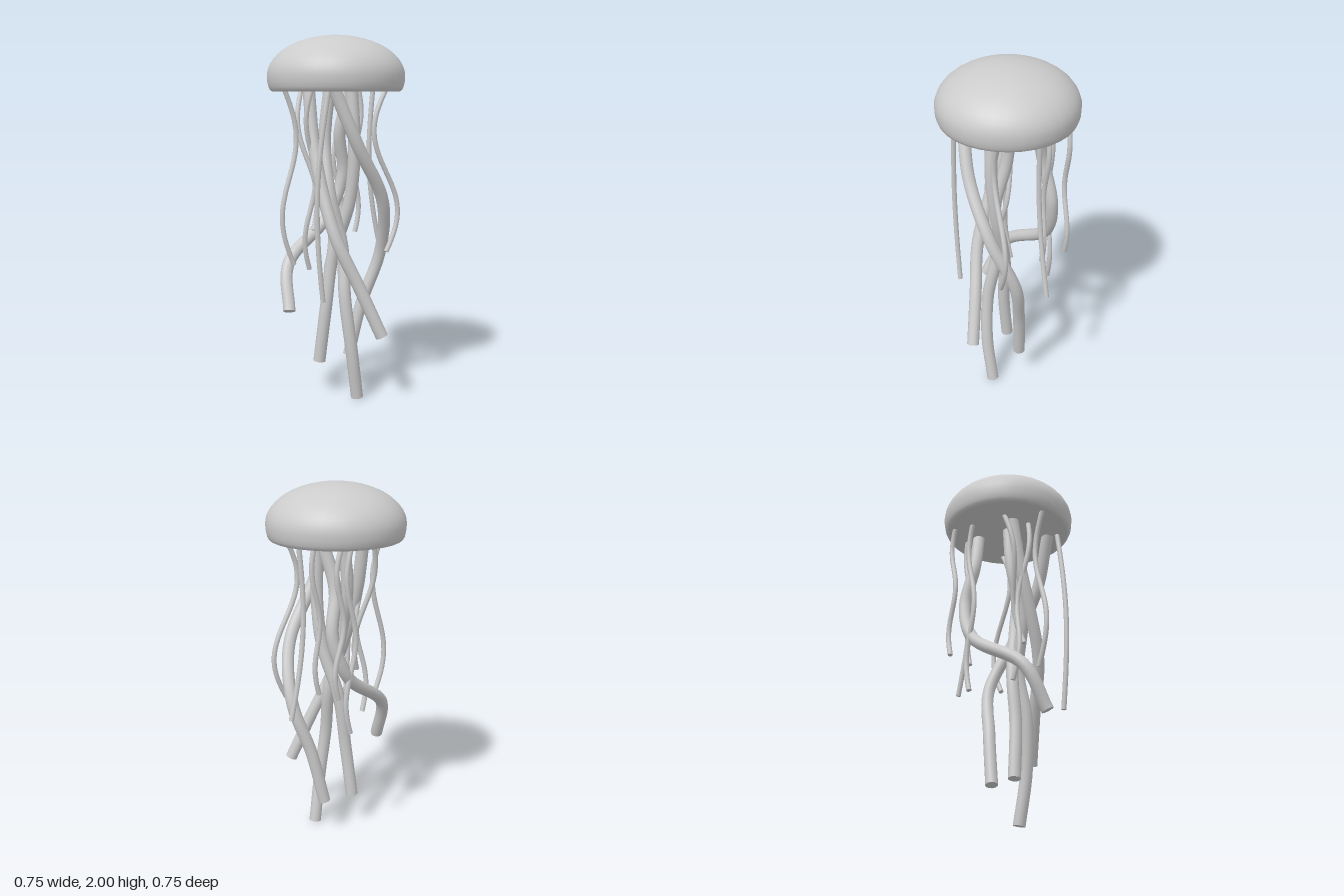
import * as THREE from 'three';

const material = new THREE.MeshStandardMaterial({ color: 0xcccccc });
const TOP = 1.71;

// Round strand along a list of vectors, closed at both ends
function strand(name, points, radius, sides) {
  const curve = new THREE.CatmullRomCurve3(points);
  const group = new THREE.Group();
  group.name = name;
  const tube = new THREE.Mesh(new THREE.TubeGeometry(curve, 40, radius, sides), material);
  tube.name = name + 'Body';
  group.add(tube);
  for (const t of [0, 1]) {
    const cap = new THREE.Mesh(new THREE.CircleGeometry(radius, sides), material);
    const dir = curve.getTangentAt(t).multiplyScalar(t ? 1 : -1);
    cap.quaternion.setFromUnitVectors(new THREE.Vector3(0, 0, 1), dir);
    cap.position.copy(curve.getPointAt(t));
    cap.name = name + 'End';
    group.add(cap);
  }
  return group;
}

// Thick arm: x, z offsets at evenly spaced heights down to endY
function arm(endY, offsets) {
  return offsets.map(([x, z], i) =>
    new THREE.Vector3(x, THREE.MathUtils.lerp(TOP, endY, i / (offsets.length - 1)), z));
}

// Thin tentacle: straight line from top to end, swaying sideways as a sine
function tentacle({ x, z, endY, sway, waves }) {
  return Array.from({ length: 13 }, (_, i) => {
    const t = i / 12;
    return new THREE.Vector3(
      THREE.MathUtils.lerp(x[0], x[1], t) + sway * Math.sin(2 * Math.PI * waves * t),
      THREE.MathUtils.lerp(TOP, endY, t),
      THREE.MathUtils.lerp(z[0], z[1], t));
  });
}

export function createModel() {
  const model = new THREE.Group();
  model.name = 'jellyfish';

  // Bell: tight curve below the widest ring, half ellipse above it
  const profile = [];
  for (let i = -4; i <= 14; i++) {
    const a = (i / 14) * Math.PI / 2;
    profile.push(i < 0
      ? new THREE.Vector2(0.345 + 0.028 * Math.cos(i * Math.PI / 8), 1.78 + 0.08 * Math.sin(i * Math.PI / 8))
      : new THREE.Vector2(0.373 * Math.cos(a), 1.78 + 0.22 * Math.sin(a)));
  }
  const bell = new THREE.Mesh(new THREE.LatheGeometry(profile, 32), material);
  bell.name = 'bell';
  model.add(bell);

  const underside = new THREE.Mesh(new THREE.CircleGeometry(0.345, 32), material);
  underside.name = 'bellUnderside';
  underside.rotation.x = Math.PI / 2;
  underside.position.y = 1.7;
  model.add(underside);

  // Thick oral arms
  const arms = [
    arm(0.21, [[-0.12, 0.2], [0.01, 0.225], [0.19, 0.18], [0.25, 0.06], [0.165, 0], [0.1, -0.03]]),
    arm(0.38, [[-0.13, -0.07], [-0.13, -0.02], [-0.12, 0.06], [-0.08, 0.15], [0.03, 0.21], [0.135, 0.27]]),
    arm(0.01, [[-0.03, -0.02], [-0.06, -0.02], [-0.065, 0.05], [0, 0.07], [-0.01, 0.12], [0.02, 0.14], [0.065, 0.125]]),
    arm(0.2, [[0.04, 0.1], [0.05, 0.115], [0.04, 0.08], [-0.025, 0.01], [-0.065, 0], [-0.09, -0.03]]),
    arm(0.52, [[0.15, -0.1], [0.11, -0.155], [0.15, -0.19], [0.06, -0.2], [-0.25, -0.09], [-0.3, 0.02]]),
  ];
  arms.forEach((points, i) => model.add(strand('oralArm' + (i + 1), points, 0.034, 12)));

  // Thin tentacles around the rim
  const tentacles = [
    { x: [-0.31, -0.26], z: [0, 0], endY: 0.77, sway: 0.055, waves: 1 },
    { x: [-0.17, -0.2], z: [0.23, 0.22], endY: 0.6, sway: -0.05, waves: 0.5 },
    { x: [0.27, 0.345], z: [-0.06, -0.085], endY: 0.77, sway: -0.05, waves: 0.5 },
    { x: [0.23, 0.24], z: [0.14, 0.14], endY: 0.82, sway: -0.075, waves: 1 },
    { x: [0.05, 0.055], z: [-0.22, -0.22], endY: 0.68, sway: 0.03, waves: 1.5 },
    { x: [0.15, 0.165], z: [-0.27, -0.27], endY: 0.91, sway: 0.025, waves: 1.5 },
    { x: [-0.16, -0.13], z: [0.02, -0.07], endY: 0.72, sway: -0.03, waves: 1.5 },
    { x: [0.22, 0.19], z: [-0.13, -0.12], endY: 0.9, sway: 0.02, waves: 1.5 },
    { x: [-0.14, -0.14], z: [-0.14, 0], endY: 0.95, sway: -0.04, waves: 1 },
  ];
  tentacles.forEach((spec, i) => model.add(strand('tentacle' + (i + 1), tentacle(spec), 0.014, 8)));

  return model;
}
